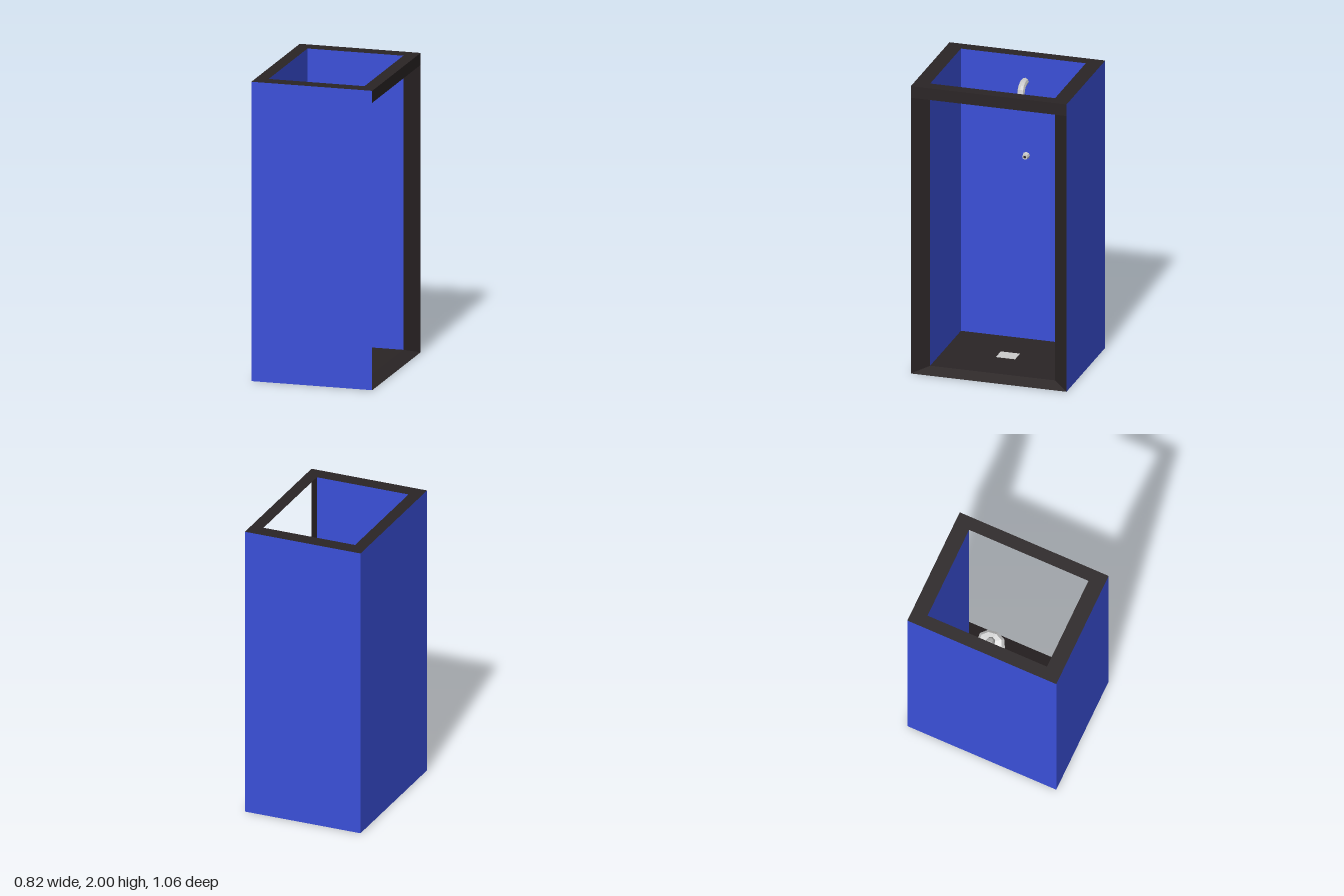
import * as THREE from 'three';

const paint = (color) => new THREE.MeshStandardMaterial({ color, flatShading: true });

// Flat panels from four corners each, counter-clockwise seen from the front
function panels(name, material, quads) {
  const geometry = new THREE.BufferGeometry();
  const points = quads.flatMap(([a, b, c, d]) => [a, b, c, a, c, d]).flat();
  geometry.setAttribute('position', new THREE.Float32BufferAttribute(points, 3));
  geometry.computeVertexNormals();
  const mesh = new THREE.Mesh(geometry, material);
  mesh.name = name;
  return mesh;
}

export function createModel() {
  const blue = paint(0x3a4fd8), dark = paint(0x2a2425), grey = paint(0xcccccc);
  const group = new THREE.Group();
  const add = (name, geometry, material, parent = group) => {
    const mesh = new THREE.Mesh(geometry, material);
    mesh.name = name;
    parent.add(mesh);
    return mesh;
  };

  // Corners of the outer and inner box; sx and sz are -1 or 1
  const X = 0.41, Z = 0.53, IX = 0.325, IZ = 0.425, H = 2, FLOOR = 0.035, HEAD = 1.92;
  const o = (sx, y, sz) => [sx * X, y, sz * Z];
  const i = (sx, y, sz) => [sx * IX, y, sz * IZ];

  group.add(panels('outerWalls', blue, [
    [o(-1, 0, 1), o(1, 0, 1), o(1, H, 1), o(-1, H, 1)],
    [o(1, 0, -1), o(-1, 0, -1), o(-1, H, -1), o(1, H, -1)],
    [o(-1, 0, -1), o(-1, 0, 1), o(-1, H, 1), o(-1, H, -1)],
    [o(-1, 0, -1), o(1, 0, -1), o(1, 0, 1), o(-1, 0, 1)],
  ]));
  group.add(panels('innerWalls', blue, [
    [i(1, FLOOR, 1), i(-1, FLOOR, 1), i(-1, H, 1), i(1, H, 1)],
    [i(-1, FLOOR, -1), i(1, FLOOR, -1), i(1, H, -1), i(-1, H, -1)],
    [i(-1, FLOOR, 1), i(-1, FLOOR, -1), i(-1, H, -1), i(-1, H, 1)],
  ]));

  // Top rim, one mitred strip per side
  const ring = [[-1, 1], [1, 1], [1, -1], [-1, -1]];
  group.add(panels('topRim', dark, ring.map(([ax, az], k) => {
    const [bx, bz] = ring[(k + 1) % 4];
    return [o(ax, H, az), o(bx, H, bz), i(bx, H, bz), i(ax, H, az)];
  })));

  // Splayed frame round the open side
  group.add(panels('doorFrame', dark, [
    [o(1, HEAD, 1), o(1, HEAD, -1), o(1, H, -1), o(1, H, 1)],
    [i(1, H, 1), i(1, H, -1), o(1, HEAD, -1), o(1, HEAD, 1)],
    [o(1, 0, 1), i(1, FLOOR, 1), i(1, H, 1), o(1, HEAD, 1)],
    [i(1, FLOOR, -1), o(1, 0, -1), o(1, HEAD, -1), i(1, H, -1)],
  ]));
  group.add(panels('floor', dark, [
    [i(-1, FLOOR, 1), i(1, FLOOR, 1), i(1, FLOOR, -1), i(-1, FLOOR, -1)],
    [i(1, FLOOR, 1), o(1, 0, 1), o(1, 0, -1), i(1, FLOOR, -1)],
  ]));

  // Drain plate
  add('drain', new THREE.BoxGeometry(0.1, 0.004, 0.13), grey).position.set(0, FLOOR + 0.001, 0);

  // Bent pipe from the back wall
  const path = new THREE.CatmullRomCurve3([
    [-0.33, 1.825], [-0.285, 1.823], [-0.255, 1.81], [-0.24, 1.785], [-0.232, 1.735],
  ].map(([x, y]) => new THREE.Vector3(x, y, -0.012)));
  add('showerPipe', new THREE.TubeGeometry(path, 8, 0.025, 8), grey);

  // Shower head, tilted towards the opening and narrower in x
  const shower = new THREE.Group();
  shower.name = 'showerHead';
  shower.position.set(-0.225, 1.71, -0.017);
  shower.scale.x = 0.77;
  const tilted = new THREE.Group();
  tilted.rotation.z = 0.4;
  shower.add(tilted);
  group.add(shower);
  const lathe = (points) => new THREE.LatheGeometry(points.map((p) => new THREE.Vector2(...p)), 9);
  add('headFace', lathe([[0, -0.03], [0.08, -0.03]]), grey, tilted);
  add('headRim', lathe([[0.08, -0.03], [0.097, 0]]), dark, tilted);
  add('headCrown', lathe([[0.097, 0], [0.078, 0.024], [0.03, 0.036], [0, 0.036]]), grey, tilted);

  // Tap on the back wall with a dark centre
  const tap = new THREE.Group();
  tap.name = 'tap';
  tap.position.set(-0.31, 1.31, -0.02);
  tap.rotation.z = -Math.PI / 2;
  add('tapBody', new THREE.CylinderGeometry(0.018, 0.025, 0.034, 8), grey, tap);
  add('tapCentre', new THREE.CylinderGeometry(0.009, 0.009, 0.036, 8), dark, tap);
  group.add(tap);
  return group;
}
